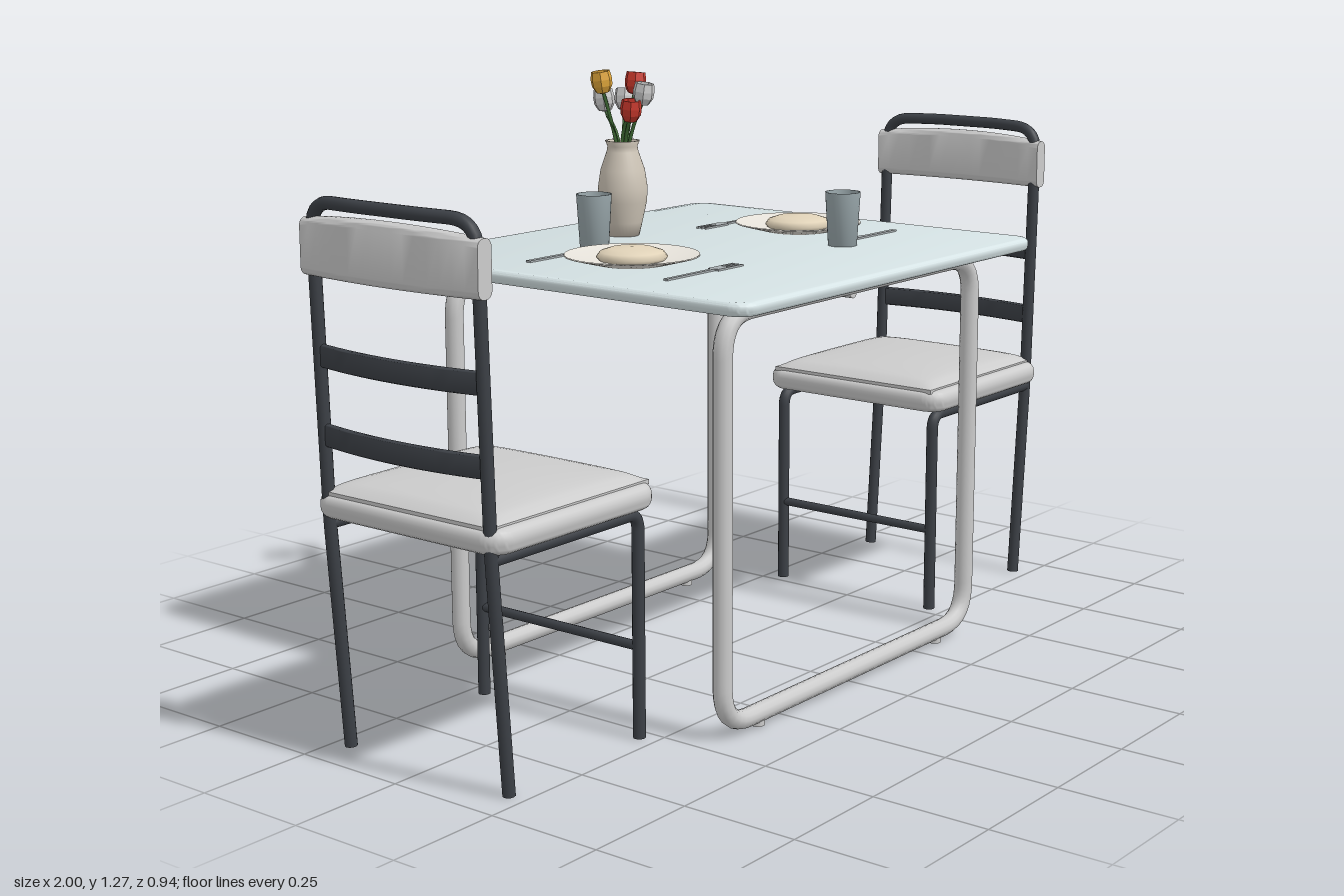
import * as THREE from 'three';
import { toCreasedNormals } from 'three/addons/utils/BufferGeometryUtils.js';

const V = (x, y, z) => new THREE.Vector3(x, y, z);
const mat = (color, extra = {}) => new THREE.MeshStandardMaterial({ color, ...extra });
const grey = mat(0xcccccc);
const dark = mat(0x3c4046);
const glassTop = mat(0xd6e3e5);
const cupMat = mat(0x9aa8ac, { side: THREE.DoubleSide });
const steel = mat(0xa9afb2);
const china = mat(0xe8e4dc, { side: THREE.DoubleSide });
const bread = mat(0xe0d2b8);
const clay = mat(0xcfc6b8, { side: THREE.DoubleSide });
const green = mat(0x3f6b35, { side: THREE.DoubleSide });

function add(parent, name, geo, material, x = 0, y = 0, z = 0) {
  const m = new THREE.Mesh(geo, material);
  m.name = name;
  m.position.set(x, y, z);
  parent.add(m);
  return m;
}

// Polyline with rounded corners, swept as a round tube
function bentTube(points, bend, radius, closed = false) {
  const path = new THREE.CurvePath();
  const n = points.length;
  const toward = (a, b) => a.clone().add(b.clone().sub(a).setLength(Math.min(bend, a.distanceTo(b) * 0.45)));
  const corner = i => {
    const p = points[i], a = points[(i + n - 1) % n], b = points[(i + 1) % n];
    return [toward(p, a), p, toward(p, b)];
  };
  let pen = closed ? corner(0)[2] : points[0];
  const order = closed ? [...Array(n).keys()].map(i => (i + 1) % n) : [...Array(n - 2).keys()].map(i => i + 1);
  for (const i of order) {
    const [s, p, e] = corner(i);
    path.add(new THREE.LineCurve3(pen, s));
    path.add(new THREE.QuadraticBezierCurve3(s, p, e));
    pen = e;
  }
  if (!closed) path.add(new THREE.LineCurve3(pen, points[n - 1]));
  return new THREE.TubeGeometry(path, 200, radius, 12, closed);
}

function roundedRect(w, h, r) {
  const s = new THREE.Shape(), x = w / 2, y = h / 2;
  s.absarc(x - r, y - r, r, 0, Math.PI / 2);
  s.absarc(-x + r, y - r, r, Math.PI / 2, Math.PI);
  s.absarc(-x + r, -y + r, r, Math.PI, Math.PI * 1.5);
  s.absarc(x - r, -y + r, r, Math.PI * 1.5, Math.PI * 2);
  return s;
}

// Horizontal slab with rounded corners and rim, resting on y = 0
function slab(w, d, h, r, bevel) {
  const g = new THREE.ExtrudeGeometry(roundedRect(w - 2 * bevel, d - 2 * bevel, r), {
    depth: h - 2 * bevel, bevelThickness: bevel, bevelSize: bevel, bevelSegments: 4, curveSegments: 8,
  });
  g.translate(0, 0, bevel).rotateX(-Math.PI / 2);
  return toCreasedNormals(g, 0.7);
}

// Upright bar across z whose middle bows towards +x
function bowedBar(t, h, w, bow, r, arch = 0) {
  const g = new THREE.ExtrudeGeometry(roundedRect(t, h, r), {
    depth: w, steps: 16, bevelEnabled: false, curveSegments: 5,
  });
  g.translate(0, 0, -w / 2);
  const p = g.attributes.position;
  for (let i = 0; i < p.count; i++) {
    const k = 1 - (2 * p.getZ(i) / w) ** 2;
    p.setX(i, p.getX(i) + bow * k);
    if (p.getY(i) > 0) p.setY(i, p.getY(i) + arch * k);
  }
  return toCreasedNormals(g, 0.7);
}

// Softly domed seat pad
function pad(w, d, edge, dome) {
  const g = new THREE.BoxGeometry(w, 0.01, d, 24, 1, 24);
  const p = g.attributes.position;
  for (let i = 0; i < p.count; i++) {
    if (p.getY(i) < 0) continue;
    const u = 2 * p.getX(i) / w, v = 2 * p.getZ(i) / d;
    const rim = Math.sqrt(Math.max(0, (1 - u ** 8) * (1 - v ** 8)));
    p.setY(i, 0.005 + edge * rim + dome * (1 - u * u) * (1 - v * v));
  }
  g.computeVertexNormals();
  return g;
}

const lathe = (pts, seg = 32) => new THREE.LatheGeometry(pts.map(([x, y]) => new THREE.Vector2(x, y)), seg);

function makeTable() {
  const t = new THREE.Group();
  t.name = 'table';
  add(t, 'tableTop', slab(1.06, 0.94, 0.027, 0.035, 0.01), glassTop, 0, 0.875, 0);
  for (const z of [-0.355, 0.355]) {
    const loop = [V(-0.447, 0.026, z), V(0.447, 0.026, z), V(0.447, 0.858, z), V(-0.447, 0.858, z)];
    add(t, 'legFrame', bentTube(loop, 0.085, 0.02, true), grey);
    for (const x of [-0.33, 0.33]) {
      add(t, 'footPad', new THREE.CylinderGeometry(0.014, 0.014, 0.012, 12), grey, x, 0.006, z);
      add(t, 'topMount', new THREE.CylinderGeometry(0.016, 0.016, 0.012, 12), grey, x, 0.872, z);
    }
  }
  add(t, 'crossBar', new THREE.CylinderGeometry(0.013, 0.013, 0.7, 12).rotateX(Math.PI / 2), grey, 0, 0.84, 0);
  return t;
}

function makeChair() {
  const c = new THREE.Group();
  c.name = 'chair';
  add(c, 'seat', slab(0.47, 0.49, 0.05, 0.03, 0.02), grey, 0.732, 0.473, 0);
  add(c, 'seatCushion', pad(0.45, 0.44, 0.015, 0.012), grey, 0.732, 0.522, 0);

  // Back legs and top rail are one bent tube
  const side = s => [V(0.912, 0, s * 0.211), V(0.947, 0.47, s * 0.211), V(0.966, 1.06, s * 0.211), V(0.969, 1.088, s * 0.18)];
  const back = [...side(1), V(0.985, 1.09, 0.08), V(0.985, 1.09, -0.08), ...side(-1).reverse()];
  add(c, 'backFrame', bentTube(back, 0.03, 0.013), dark);
  for (const z of [-0.211, 0.211])
    add(c, 'frontLeg', bentTube([V(0.531, 0, z), V(0.531, 0.463, z), V(0.946, 0.463, z)], 0.035, 0.013), dark);
  add(c, 'stretcher', new THREE.CylinderGeometry(0.01, 0.01, 0.42, 10).rotateX(Math.PI / 2), dark, 0.531, 0.19, 0);

  // Back slats and headrest
  add(c, 'backSlat', bowedBar(0.014, 0.045, 0.42, 0.022, 0.006), dark, 0.952, 0.638, 0);
  add(c, 'backSlat', bowedBar(0.014, 0.045, 0.42, 0.022, 0.006), dark, 0.957, 0.793, 0);
  add(c, 'headrest', bowedBar(0.036, 0.11, 0.455, 0.017, 0.016, 0.012), grey, 0.965, 1.002, 0);
  return c;
}

// One place: plate, bread, glass, fork and knife
function makeSetting() {
  const s = new THREE.Group();
  s.name = 'placeSetting';
  add(s, 'plate', lathe([[0, 0.001], [0.075, 0.001], [0.14, 0.018], [0.139, 0.021], [0.085, 0.009], [0, 0.007]], 40), china, 0.29, 0.902, 0);
  add(s, 'bread', lathe([[0, 0], [0.066, 0], [0.074, 0.009], [0.066, 0.02], [0.045, 0.027], [0, 0.03]], 24), bread, 0.29, 0.908, 0);
  add(s, 'glass', lathe([[0, 0], [0.031, 0], [0.038, 0.115], [0.035, 0.115], [0.029, 0.01], [0, 0.01]], 24), cupMat, 0.175, 0.902, 0.2);

  const thin = { depth: 0.004, bevelEnabled: false };
  const knife = new THREE.Shape();
  knife.moveTo(0.41, -0.006).lineTo(0.41, 0.006).lineTo(0.3, 0.006).lineTo(0.3, 0.009)
    .lineTo(0.21, 0.009).quadraticCurveTo(0.19, 0.004, 0.195, -0.006);
  add(s, 'knife', new THREE.ExtrudeGeometry(knife, thin).rotateX(-Math.PI / 2), steel, 0, 0.902, 0.177);
  add(s, 'forkHandle', new THREE.BoxGeometry(0.16, 0.004, 0.01), steel, 0.33, 0.904, -0.185);
  add(s, 'forkHead', new THREE.BoxGeometry(0.035, 0.004, 0.027), steel, 0.24, 0.904, -0.185);
  for (let i = -1; i <= 1; i++)
    add(s, 'forkTine', new THREE.BoxGeometry(0.05, 0.004, 0.005), steel, 0.2, 0.904, -0.185 + i * 0.011);
  return s;
}

function makeVase() {
  const v = new THREE.Group();
  v.name = 'vaseWithFlowers';
  v.position.set(0, 0.902, -0.267);
  const profile = [[0, 0], [0.036, 0], [0.043, 0.03], [0.053, 0.075], [0.055, 0.105], [0.049, 0.145], [0.035, 0.185],
    [0.033, 0.197], [0.038, 0.209], [0.033, 0.209], [0.028, 0.195], [0.028, 0.16], [0, 0.16]];
  add(v, 'vase', lathe(profile), clay);

  // Tulips: x, y, z of the bloom base and its colour
  const blooms = [
    [-0.042, 0.312, -0.018, 0xe0a63a], [0.035, 0.306, 0.006, 0xc8382c], [0.005, 0.287, 0.052, 0xe6e6e6],
    [-0.023, 0.252, 0.042, 0xc8382c], [0.045, 0.268, -0.03, 0xe6e6e6], [-0.014, 0.27, -0.036, 0xe6e6e6],
  ];
  for (const [x, y, z, color] of blooms) {
    const stem = new THREE.QuadraticBezierCurve3(V(x * 0.2, 0.17, z * 0.2), V(x * 0.45, 0.24, z * 0.45), V(x, y + 0.004, z));
    add(v, 'stem', new THREE.TubeGeometry(stem, 10, 0.004, 6), green);
    const tulip = lathe([[0, 0], [0.015, 0.004], [0.023, 0.018], [0.024, 0.032], [0.021, 0.05], [0.018, 0.05], [0.016, 0.03], [0, 0.012]], 7);
    const m = add(v, 'tulip', tulip, mat(color, { flatShading: true, side: THREE.DoubleSide }), x, y, z);
    m.rotation.set(z * 3, 0, -x * 3);
  }

  // Leaves arch out of the neck
  for (let i = 0; i < 5; i++) {
    const g = new THREE.PlaneGeometry(0.014, 0.09, 2, 6).translate(0, 0.045, 0);
    const p = g.attributes.position;
    for (let k = 0; k < p.count; k++) {
      const t = p.getY(k) / 0.09;
      p.setX(k, p.getX(k) * Math.sin(Math.PI * (0.2 + 0.8 * t)));
      p.setZ(k, 0.01 + 0.035 * t * t);
    }
    g.computeVertexNormals();
    add(v, 'leaf', g, green, 0, 0.18, 0).rotation.y = i * Math.PI * 0.4 + 0.6;
  }
  return v;
}

export function createModel() {
  const model = new THREE.Group();
  model.name = 'diningSet';
  model.add(makeTable(), makeVase());
  // Chairs and settings face each other across the table
  for (const turn of [0, Math.PI]) {
    const chair = makeChair(), setting = makeSetting();
    chair.rotation.y = setting.rotation.y = turn;
    model.add(chair, setting);
  }
  return model;
}
